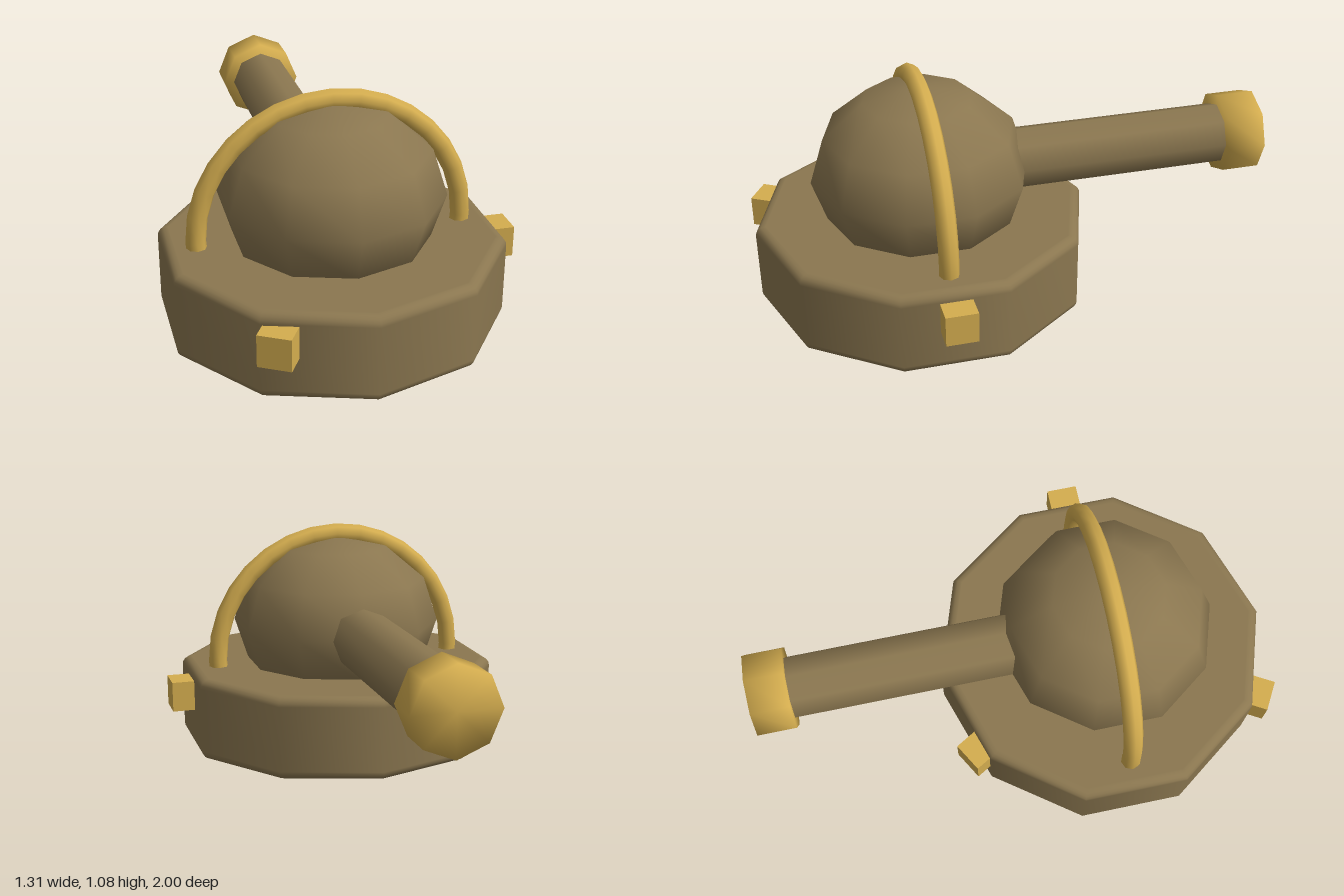
import * as THREE from 'three';
import { mergeVertices } from 'three/addons/utils/BufferGeometryUtils.js';

const CX = -0.04, CZ = 0.357, AXIS_Y = 0.68;

// Share every vertex so normals blend across all edges
function softened(geometry) {
  geometry.deleteAttribute('normal');
  geometry.deleteAttribute('uv');
  const merged = mergeVertices(geometry);
  merged.computeVertexNormals();
  return merged;
}

export function createModel() {
  const bronze = new THREE.MeshStandardMaterial({ name: 'bronze', color: 0x8b7750 });
  const gold = new THREE.MeshStandardMaterial({ name: 'gold', color: 0xd4ad4f });
  const model = new THREE.Group();
  model.name = 'turret';

  function add(name, geometry, material, x, y, z) {
    const mesh = new THREE.Mesh(geometry, material);
    mesh.name = name;
    mesh.position.set(x, y, z);
    model.add(mesh);
    return mesh;
  }

  // Ten-sided base with rounded rims
  const R = 0.643, bottom = 0.19, top = 0.517, bevel = 0.035;
  const profile = [new THREE.Vector2(0, bottom), new THREE.Vector2(R - bevel - 0.005, bottom)];
  for (const [y, start] of [[bottom + bevel, -Math.PI / 2], [top - bevel, 0]]) {
    for (let i = 0; i <= 4; i++) {
      const a = start + (i / 4) * Math.PI / 2;
      profile.push(new THREE.Vector2(R - bevel + Math.cos(a) * bevel, y + Math.sin(a) * bevel));
    }
  }
  profile.push(new THREE.Vector2(R - bevel - 0.005, top), new THREE.Vector2(0, top));
  add('base', new THREE.LatheGeometry(profile, 10), bronze, CX, 0, CZ);

  // Flattened dome
  const dome = add('dome', new THREE.SphereGeometry(0.42, 10, 6), bronze, CX, AXIS_Y, CZ);
  dome.scale.y = 0.35 / 0.42;
  dome.rotation.y = Math.PI / 2;

  // Upright ring passing through the base
  add('ring', new THREE.TorusGeometry(0.5, 0.0375, 8, 32), gold, CX, 0.54, CZ);

  // Barrel pointing backwards, with a wider muzzle
  const barrel = new THREE.CylinderGeometry(0.122, 0.122, 1.15, 8).rotateX(Math.PI / 2);
  add('barrel', barrel, bronze, CX, AXIS_Y, -0.305);
  const muzzle = new THREE.CylinderGeometry(0.1625, 0.1625, 0.148, 8).rotateX(Math.PI / 2);
  add('muzzle', softened(muzzle), gold, CX, AXIS_Y, -0.926);

  // Three lugs around the rim
  for (let i = 0; i < 3; i++) {
    const a = (i * Math.PI * 2) / 3;
    const lug = add('lug', new THREE.BoxGeometry(0.12, 0.12, 0.12), gold,
      CX + Math.cos(a) * 0.64, 0.417, CZ - Math.sin(a) * 0.64);
    lug.rotation.y = a;
  }
  return model;
}
